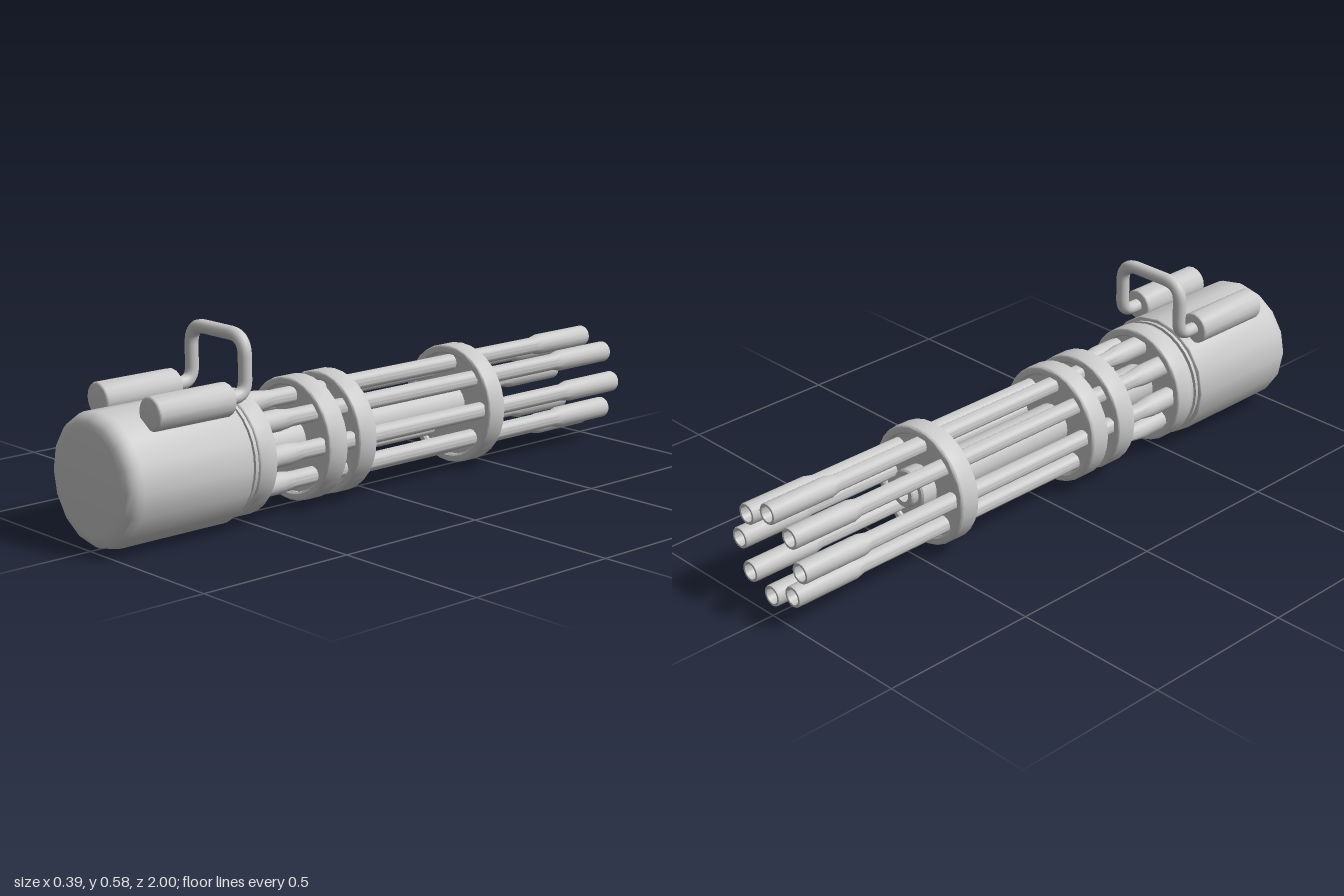
import * as THREE from 'three';
import { toCreasedNormals } from 'three/addons/utils/BufferGeometryUtils.js';

const AXIS_Y = 0.196;
const material = new THREE.MeshStandardMaterial({ color: 0xcccccc });

function addMesh(parent, name, geometry, x = 0, y = 0, z = 0) {
  const mesh = new THREE.Mesh(geometry, material);
  mesh.name = name;
  mesh.position.set(x, y, z);
  parent.add(mesh);
  return mesh;
}

// Turned part along z: profile is [radius, z] listed from front (+z) to back (-z)
function turned(profile, segments) {
  const points = profile.map(([r, z]) => new THREE.Vector2(r, -z));
  const geometry = new THREE.LatheGeometry(points, segments).rotateX(-Math.PI / 2);
  return toCreasedNormals(geometry, 0.7);
}

// Quarter-round edge on a turned part, from the front face to the side
function roundedFront(radius, z, bevel, steps = 4) {
  return Array.from({ length: steps + 1 }, (_, i) => {
    const a = (i / steps) * Math.PI / 2;
    return [radius - bevel + bevel * Math.sin(a), z - bevel + bevel * Math.cos(a)];
  });
}
const roundedBack = (radius, z, bevel) =>
  roundedFront(radius, -z, bevel).reverse().map(([r, zz]) => [r, -zz]);

export function createModel() {
  const model = new THREE.Group();
  model.name = 'rotaryGun';

  // Motor housing with rounded front cap
  addMesh(model, 'motorHousing', turned([
    [0, 1], ...roundedFront(0.196, 1, 0.045), ...roundedBack(0.196, 0.572, 0.006), [0, 0.572],
  ], 16), 0, AXIS_Y);

  // Stepped collar between housing and barrel cluster
  addMesh(model, 'housingCollar', turned([
    [0, 0.58], [0.182, 0.58], [0.182, 0.562], [0.17, 0.562], [0.17, 0.553],
    [0.18, 0.553], [0.18, 0.535], [0, 0.535],
  ], 32), 0, AXIS_Y);

  // Clamp rings: a raised rim around a recessed plate
  [[0.543, 0.475], [0.28, 0.207], [0.163, 0.092], [-0.377, -0.447]].forEach(([front, back], i) => {
    const plate = 0.014;
    addMesh(model, `clampRing${i + 1}`, turned([
      [0, front - plate], [0.16, front - plate], [0.16, front - 0.006], [0.166, front],
      ...roundedFront(0.187, front, 0.01), ...roundedBack(0.187, back, 0.01),
      [0.166, back], [0.16, back + 0.006], [0.16, back + plate], [0, back + plate],
    ], 32), 0, AXIS_Y);
  });

  // Central spindle with stepped hub at the muzzle end
  addMesh(model, 'spindle', turned([
    [0, 0.5], [0.065, 0.5], [0.065, -0.482], [0.06, -0.487], [0.046, -0.487],
    [0.046, -0.505], [0.042, -0.51], [0.026, -0.51], [0.026, -0.46], [0, -0.46],
  ], 20), 0, AXIS_Y);

  // Eight hollow barrels around the spindle
  const barrelGeometry = turned([
    [0, 0.5], [0.033, 0.5], [0.033, 0.4], [0.026, 0.35], [0.026, -0.755], [0.033, -0.785],
    [0.033, -0.996], [0.031, -1], [0.024, -1], [0.023, -0.997], [0.023, -0.82], [0, -0.82],
  ], 16);
  for (let i = 0; i < 8; i++) {
    const a = (i * Math.PI) / 4;
    addMesh(model, `barrel${i + 1}`, barrelGeometry,
      0.132 * Math.cos(a), AXIS_Y + 0.132 * Math.sin(a));
  }

  // Handle mounts on the housing shoulders
  const mountGeometry = turned([
    [0, 0.878], ...roundedFront(0.05, 0.878, 0.008), ...roundedBack(0.05, 0.608, 0.008), [0, 0.608],
  ], 16);
  for (const side of [1, -1]) {
    addMesh(model, side > 0 ? 'leftHandleMount' : 'rightHandleMount', mountGeometry, side * 0.12, 0.39);
  }

  // Carrying handle: straight runs joined by rounded corners
  const corners = [
    [-0.12, 0.39, 0.64], [-0.12, 0.39, 0.54], [-0.12, 0.56, 0.54],
    [0.12, 0.56, 0.54], [0.12, 0.39, 0.54], [0.12, 0.39, 0.64],
  ].map((p) => new THREE.Vector3(...p));
  const bends = [0, 0.045, 0.06, 0.06, 0.045, 0];
  const path = new THREE.CurvePath();
  let last = corners[0];
  for (let i = 1; i < corners.length - 1; i++) {
    const toward = (other) => corners[i].clone().add(
      other.clone().sub(corners[i]).setLength(bends[i]));
    const start = toward(corners[i - 1]);
    const end = toward(corners[i + 1]);
    path.add(new THREE.LineCurve3(last, start));
    path.add(new THREE.QuadraticBezierCurve3(start, corners[i], end));
    last = end;
  }
  path.add(new THREE.LineCurve3(last, corners[5]));
  addMesh(model, 'carryHandle', new THREE.TubeGeometry(path, 90, 0.0205, 14, false));

  return model;
}
